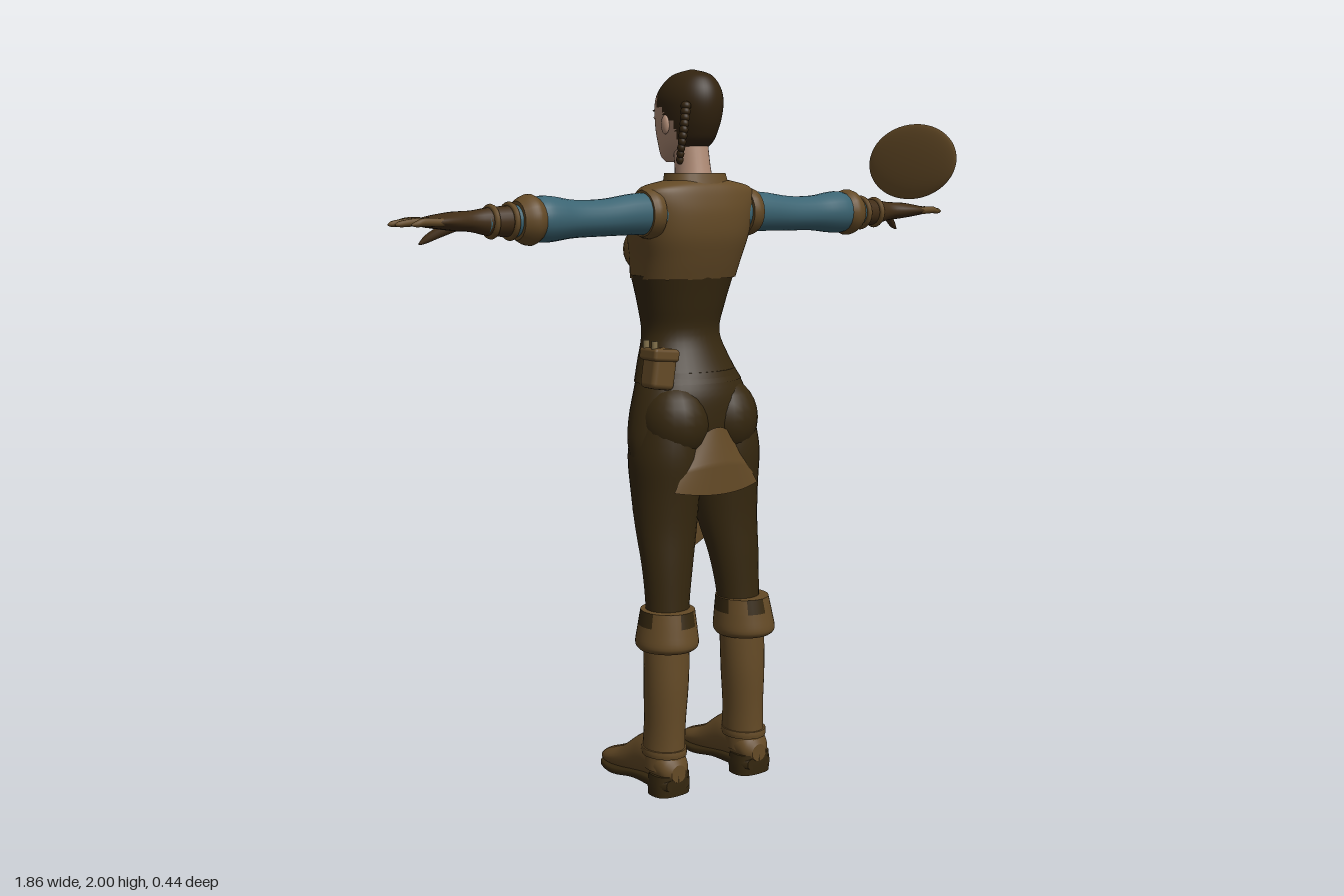
import * as THREE from 'three';
import { ParametricGeometry } from 'three/addons/geometries/ParametricGeometry.js';
import { RoundedBoxGeometry } from 'three/addons/geometries/RoundedBoxGeometry.js';

const mat = (name, color, side = THREE.FrontSide) => {
  const m = new THREE.MeshStandardMaterial({ color, side });
  m.name = name;
  return m;
};

// Smooth closed tube through elliptical rings [t, u, v, ru, rv], t ascending.
// axis y: u = x, v = z; axis x: u = z, v = y; axis z: u = y, v = x.
// pick(point) returns the material index of a face.
function loft(rings, { axis = 'y', seg = 28, sub = 4, power = 1, pick = () => 0 } = {}) {
  const rows = [], pos = [], faces = [];
  const spline = (a, b, c, d, t) => 0.5 * (2 * b + (c - a) * t + (2 * a - 5 * b + 4 * c - d) * t * t + (3 * b - a - 3 * c + d) * t ** 3);
  const at = i => rings[Math.min(Math.max(i, 0), rings.length - 1)];
  for (let i = 0; i < rings.length - 1; i++)
    for (let k = 0; k < sub; k++)
      rows.push(at(i).map((_, n) => spline(at(i - 1)[n], at(i)[n], at(i + 1)[n], at(i + 2)[n], k / sub)));
  rows.push(at(rings.length));
  const put = (u, t, v) => {
    pos.push(...(axis === 'y' ? [u, t, v] : axis === 'x' ? [t, v, u] : [v, u, t]));
    return pos.length / 3 - 1;
  };
  const round = c => Math.sign(c) * Math.abs(c) ** power;
  const ring = ([t, u, v, ru, rv]) => Array.from({ length: seg }, (_, j) => {
    const a = j / seg * Math.PI * 2;
    return put(u + Math.max(ru, 0.001) * round(Math.cos(a)), t, v + Math.max(rv, 0.001) * round(Math.sin(a)));
  });
  const grid = rows.map(ring);
  for (let i = 0; i < grid.length - 1; i++)
    for (let j = 0; j < seg; j++) {
      const k = (j + 1) % seg, a = grid[i][j], b = grid[i][k], c = grid[i + 1][j], d = grid[i + 1][k];
      faces.push([a, c, b], [b, c, d]);
    }
  for (const end of [0, rows.length - 1]) {
    const [t, u, v] = rows[end], rim = ring(rows[end]), mid = put(u, t, v);
    rim.forEach((a, j) => faces.push(end ? [a, mid, rim[(j + 1) % seg]] : [a, rim[(j + 1) % seg], mid]));
  }
  const buckets = [[], []];
  for (const f of faces) {
    const c = [0, 1, 2].map(n => (pos[f[0] * 3 + n] + pos[f[1] * 3 + n] + pos[f[2] * 3 + n]) / 3);
    buckets[pick(...c)].push(...f);
  }
  const g = new THREE.BufferGeometry();
  g.setAttribute('position', new THREE.Float32BufferAttribute(pos, 3));
  g.setIndex(buckets.flat());
  if (buckets[1].length) {
    g.addGroup(0, buckets[0].length, 0);
    g.addGroup(buckets[0].length, buckets[1].length, 1);
  }
  g.computeVertexNormals();
  return g;
}

// Mirrored copy of a group with corrected face order
function mirrorX(group, name) {
  const out = new THREE.Group();
  out.name = name;
  group.updateMatrixWorld(true);
  group.traverse(o => {
    if (!o.isMesh) return;
    const g = o.geometry.clone().applyMatrix4(o.matrixWorld).scale(-1, 1, 1), ix = g.index.array;
    for (let i = 0; i < ix.length; i += 3) [ix[i], ix[i + 1]] = [ix[i + 1], ix[i]];
    const m = new THREE.Mesh(g, o.material);
    m.name = o.name;
    out.add(m);
  });
  return out;
}

export function createModel() {
  const leather = mat('brown leather', 0x644a26, THREE.DoubleSide), cloth = mat('dark brown cloth', 0x35270f);
  const hair = mat('hair', 0x32230f), teal = mat('teal sleeve', 0x3b6472), skin = mat('skin', 0xb08c76);
  const glove = mat('glove leather', 0x412d16), white = mat('eye white', 0xc4bcae), lips = mat('lips', 0x8c5a4c);
  const brass = mat('brass', 0x85734c);
  const model = new THREE.Group();
  const group = name => { const g = new THREE.Group(); g.name = name; return g; };
  const add = (parent, name, geo, material, p = [0, 0, 0], s = [1, 1, 1], r = [0, 0, 0]) => {
    const m = new THREE.Mesh(geo, material);
    m.name = name;
    m.position.set(...p); m.scale.set(...s); m.rotation.set(...r);
    parent.add(m);
    return m;
  };
  const ball = new THREE.SphereGeometry(1, 20, 14);

  // Head with hair cut into the same surface
  const head = group('head');
  model.add(head);
  add(head, 'headAndHair', loft([
    [1.752, 0, -0.1, 0.018, 0.02], [1.768, 0, -0.078, 0.042, 0.052], [1.8, 0, -0.045, 0.064, 0.087],
    [1.84, 0, -0.034, 0.075, 0.104], [1.885, 0, -0.027, 0.081, 0.112], [1.925, 0, -0.023, 0.081, 0.11],
    [1.96, 0, -0.017, 0.068, 0.092], [1.987, 0, -0.012, 0.043, 0.06], [2, 0, -0.01, 0.004, 0.005],
  ], { seg: 56, sub: 6, pick: (x, y, z) => (y > 1.935 || (z > -0.075 && y > 1.9) || (z > -0.035 && y > 1.865) || (z > 0.005 && y > 1.785)) ? 1 : 0 }), [skin, hair]);
  add(head, 'neck', loft([[1.64, 0, 0.005, 0.06, 0.06], [1.7, 0, -0.002, 0.051, 0.055], [1.75, 0, -0.01, 0.047, 0.053], [1.81, 0, -0.02, 0.047, 0.052]]), skin);
  add(head, 'nose', loft([[1.822, 0, -0.138, 0.013, 0.012], [1.832, 0, -0.143, 0.015, 0.019], [1.855, 0, -0.139, 0.009, 0.014], [1.89, 0, -0.132, 0.007, 0.01]], { seg: 14 }), skin);
  add(head, 'lips', ball, lips, [0, 1.803, -0.129], [0.021, 0.007, 0.008]);
  for (const s of [-1, 1]) {
    add(head, 'eye', ball, white, [s * 0.032, 1.873, -0.127], [0.013, 0.006, 0.006]);
    add(head, 'iris', ball, hair, [s * 0.032, 1.873, -0.131], [0.005, 0.005, 0.003]);
    add(head, 'eyebrow', ball, hair, [s * 0.034, 1.893, -0.129], [0.018, 0.003, 0.004], [0, s * -0.3, s * -0.1]);
    add(head, 'ear', ball, skin, [s * 0.08, 1.852, -0.025], [0.009, 0.026, 0.015]);
  }
  for (let i = 0; i < 10; i++)
    add(head, 'braidKnot', ball, hair, [-0.07 - 0.024 * Math.sin(i / 9 * 2), 1.9 - i * 0.0158, 0.055 + 0.016 * Math.sin(i / 9 * 3)], [0.014 - i * 0.0005, 0.013, 0.015 - i * 0.0005]);

  // Vest with teal shirt showing beside the bib
  const torso = group('torso');
  model.add(torso);
  add(torso, 'vest', loft([
    [1.435, 0, -0.053, 0.153, 0.113], [1.49, 0, -0.04, 0.162, 0.12], [1.55, 0, -0.028, 0.176, 0.125],
    [1.61, 0, -0.014, 0.184, 0.114], [1.655, 0, 0, 0.186, 0.093], [1.685, 0, 0.007, 0.17, 0.076], [1.702, 0, 0.008, 0.1, 0.06],
  ], { seg: 64, sub: 5, power: 0.82, pick: (x, y, z) => (z < -0.025 && y > 1.56 && Math.abs(x) > 0.05 && Math.abs(x) < 0.125) ? 1 : 0 }), [leather, teal]);
  add(torso, 'collar', loft([[1.675, 0, 0.006, 0.098, 0.076], [1.7, 0, 0.005, 0.093, 0.07], [1.722, 0, 0.003, 0.088, 0.066]], { power: 0.85 }), leather);
  add(torso, 'corset', loft([
    [1.15, 0, -0.03, 0.164, 0.122], [1.2, 0, -0.048, 0.143, 0.11], [1.28, 0, -0.065, 0.117, 0.096],
    [1.36, 0, -0.061, 0.132, 0.105], [1.445, 0, -0.054, 0.158, 0.117],
  ], { seg: 40 }), cloth);
  for (const s of [-1, 1]) {
    add(torso, 'bust', ball, leather, [s * 0.072, 1.512, -0.112], [0.074, 0.072, 0.074]);
    for (let i = 0; i < 6; i++) add(torso, 'corsetStud', ball, brass, [s * 0.03, 1.2 + i * 0.041, -0.158 - 0.0012 * i], [0.005, 0.005, 0.006]);
  }

  // Hips
  add(torso, 'hips', loft([
    [0.9, 0, 0, 0.19, 0.085], [0.95, 0, -0.01, 0.202, 0.1], [1, 0, -0.015, 0.204, 0.115],
    [1.06, 0, -0.018, 0.193, 0.122], [1.12, 0, -0.022, 0.174, 0.122], [1.18, 0, -0.038, 0.148, 0.114],
  ], { seg: 40 }), cloth);
  for (const s of [-1, 1]) add(torso, 'buttock', ball, cloth, [s * 0.085, 1.04, 0.018], [0.1, 0.115, 0.103]);

  // Split front apron and rear flap
  const mix = THREE.MathUtils.lerp;
  for (const s of [-1, 1]) add(torso, 'apronPanel', new ParametricGeometry((u, v, p) => {
    const outer = mix(0.06, 0.165, Math.min(1, v * 1.15)), inner = Math.max(0, v - 0.45) * 0.04;
    const y = mix(mix(1.11, 1.19, u), mix(0.585, 0.73, u ** 1.5), v);
    const edge = v < 0.65 ? mix(-0.135, -0.11, v / 0.65) : mix(-0.11, -0.045, (v - 0.65) / 0.35);
    p.set(s * mix(inner, outer, u), y, mix(-0.157, edge, u * u));
  }, 12, 24), leather);
  add(torso, 'rearFlap', new ParametricGeometry((u, v, p) => {
    const k = u * 2 - 1;
    p.set(k * mix(0.075, 0.145, v), mix(1.03 - 0.05 * k * k, 0.845 + 0.015 * k * k, v), mix(0.11, 0.127, Math.min(1, v * 2)) - 0.025 * k * k);
  }, 16, 12), leather);

  // Belt pouch with vials
  const pouch = group('pouch');
  model.add(pouch);
  add(pouch, 'pouchBody', new RoundedBoxGeometry(0.075, 0.1, 0.07, 2, 0.015), leather, [-0.148, 1.19, 0.035], [1, 1, 1], [0, 0, -0.15]);
  add(pouch, 'pouchFlap', new RoundedBoxGeometry(0.085, 0.035, 0.08, 2, 0.01), leather, [-0.145, 1.235, 0.035], [1, 1, 1], [0, 0, -0.1]);
  for (const z of [0.015, 0.055]) add(pouch, 'vial', new THREE.CylinderGeometry(0.009, 0.009, 0.05, 10), brass, [-0.175, 1.25, z]);

  // Arm: sleeve, cuff, bracelets, glove and fingers
  const arm = group('leftArm');
  model.add(arm);
  const limb = (name, rings, material, opt) => add(arm, name, loft(rings, { axis: 'x', seg: 22, ...opt }), material);
  limb('armhole', [[0.15, 0.015, 1.615, 0.066, 0.066], [0.17, 0.015, 1.615, 0.07, 0.068], [0.188, 0.015, 1.615, 0.062, 0.062]], leather);
  limb('sleeve', [[0.13, 0.017, 1.615, 0.055, 0.057], [0.22, 0.017, 1.614, 0.053, 0.055], [0.32, 0.018, 1.607, 0.051, 0.049],
    [0.41, 0.017, 1.606, 0.053, 0.05], [0.47, 0.018, 1.607, 0.06, 0.058], [0.51, 0.018, 1.607, 0.061, 0.06], [0.55, 0.018, 1.605, 0.05, 0.05]], teal);
  limb('cuff', [[0.52, 0.018, 1.606, 0.058, 0.055], [0.54, 0.018, 1.606, 0.067, 0.066], [0.56, 0.018, 1.606, 0.062, 0.062], [0.58, 0.018, 1.605, 0.048, 0.05]], leather);
  limb('forearm', [[0.56, 0.018, 1.605, 0.04, 0.042], [0.62, 0.017, 1.604, 0.036, 0.038], [0.67, 0.016, 1.604, 0.033, 0.034]], teal);
  for (const [x, r] of [[0.6, 0.042], [0.655, 0.037]])
    add(arm, 'bracelet', new THREE.TorusGeometry(r, 0.008, 8, 24), leather, [x, 1.604, 0.017], [1, 1, 1], [0, Math.PI / 2, 0]);
  limb('glove', [[0.6, 0.017, 1.604, 0.038, 0.04], [0.66, 0.016, 1.604, 0.034, 0.036], [0.71, 0.015, 1.606, 0.031, 0.027],
    [0.76, 0.013, 1.607, 0.045, 0.024], [0.8, 0.013, 1.607, 0.052, 0.019], [0.835, 0.013, 1.606, 0.049, 0.013]], glove);
  const fingers = [[-0.03, 0.905], [-0.002, 0.93], [0.026, 0.925], [0.053, 0.895]];
  for (const [z, tip] of fingers) {
    limb('finger', [[0.81, z, 1.606, 0.011, 0.011], [0.86, z, 1.608, 0.0105, 0.0105], [tip - 0.015, z, 1.604, 0.009, 0.008], [tip, z, 1.602, 0.002, 0.002]], leather, { seg: 10 });
  }
  limb('thumb', [[0.73, -0.008, 1.6, 0.016, 0.016], [0.77, -0.036, 1.58, 0.015, 0.015], [0.8, -0.052, 1.562, 0.011, 0.011], [0.818, -0.057, 1.55, 0.002, 0.003]], glove, { seg: 12 });
  model.add(mirrorX(arm, 'rightArm'));

  // Leg: trousers, turned-down boot cuff, shaft, foot and sole
  const leg = group('leftLeg');
  model.add(leg);
  add(leg, 'trouserLeg', loft([
    [0.46, 0.128, 0.045, 0.06, 0.058], [0.55, 0.124, 0.04, 0.064, 0.06], [0.65, 0.117, 0.03, 0.075, 0.068],
    [0.75, 0.108, 0.012, 0.088, 0.084], [0.85, 0.104, 0.003, 0.096, 0.098], [0.95, 0.104, 0, 0.099, 0.108], [1.04, 0.1, 0, 0.085, 0.1],
  ]), cloth);
  add(leg, 'bootCuff', loft([
    [0.415, 0.137, 0.054, 0.077, 0.082], [0.43, 0.137, 0.055, 0.086, 0.094], [0.47, 0.135, 0.054, 0.082, 0.089], [0.525, 0.132, 0.052, 0.074, 0.08],
  ], { seg: 36, pick: (x, y, z) => (y > 0.48 && y < 0.524 && (Math.abs(z - 0.045) < 0.035 || Math.abs(x - 0.12) < 0.025)) ? 1 : 0 }), [leather, cloth]);
  add(leg, 'bootShaft', loft([
    [0.07, 0.145, 0.055, 0.056, 0.06], [0.13, 0.142, 0.046, 0.056, 0.066], [0.2, 0.14, 0.048, 0.056, 0.064],
    [0.3, 0.137, 0.05, 0.062, 0.065], [0.38, 0.135, 0.05, 0.065, 0.063], [0.46, 0.133, 0.048, 0.066, 0.062],
  ]), leather);
  add(leg, 'ankleStrap', loft([[0.108, 0.143, 0.048, 0.06, 0.07], [0.118, 0.143, 0.048, 0.061, 0.071], [0.128, 0.143, 0.048, 0.06, 0.07]]), leather);
  add(leg, 'bootFoot', loft([
    [-0.222, 0.031, 0.145, 0.006, 0.012], [-0.208, 0.036, 0.145, 0.018, 0.038], [-0.165, 0.043, 0.145, 0.028, 0.055], [-0.11, 0.056, 0.144, 0.04, 0.056],
    [-0.055, 0.076, 0.143, 0.06, 0.052], [0, 0.09, 0.143, 0.07, 0.052], [0.06, 0.085, 0.144, 0.06, 0.054], [0.1, 0.075, 0.144, 0.045, 0.046], [0.12, 0.065, 0.144, 0.025, 0.025],
  ], { axis: 'z' }), leather);
  add(leg, 'sole', loft([
    [-0.22, 0.023, 0.145, 0.006, 0.02], [-0.195, 0.018, 0.145, 0.012, 0.05], [-0.13, 0.015, 0.145, 0.014, 0.06], [-0.05, 0.026, 0.144, 0.014, 0.05],
    [0.03, 0.034, 0.145, 0.018, 0.055], [0.09, 0.034, 0.145, 0.018, 0.055], [0.118, 0.034, 0.145, 0.017, 0.04],
  ], { axis: 'z', power: 0.6 }), cloth);
  add(leg, 'heel', loft([[0, 0.145, 0.072, 0.058, 0.046], [0.03, 0.145, 0.072, 0.058, 0.048], [0.06, 0.145, 0.074, 0.055, 0.046]], { power: 0.75 }), cloth);
  model.add(mirrorX(leg, 'rightLeg'));

  // Oval shield above the left hand
  add(model, 'shield', new THREE.SphereGeometry(1, 40, 24), leather, [0.79, 1.752, 0.035], [0.014, 0.112, 0.185], [0, 0, -0.13]);
  return model;
}
